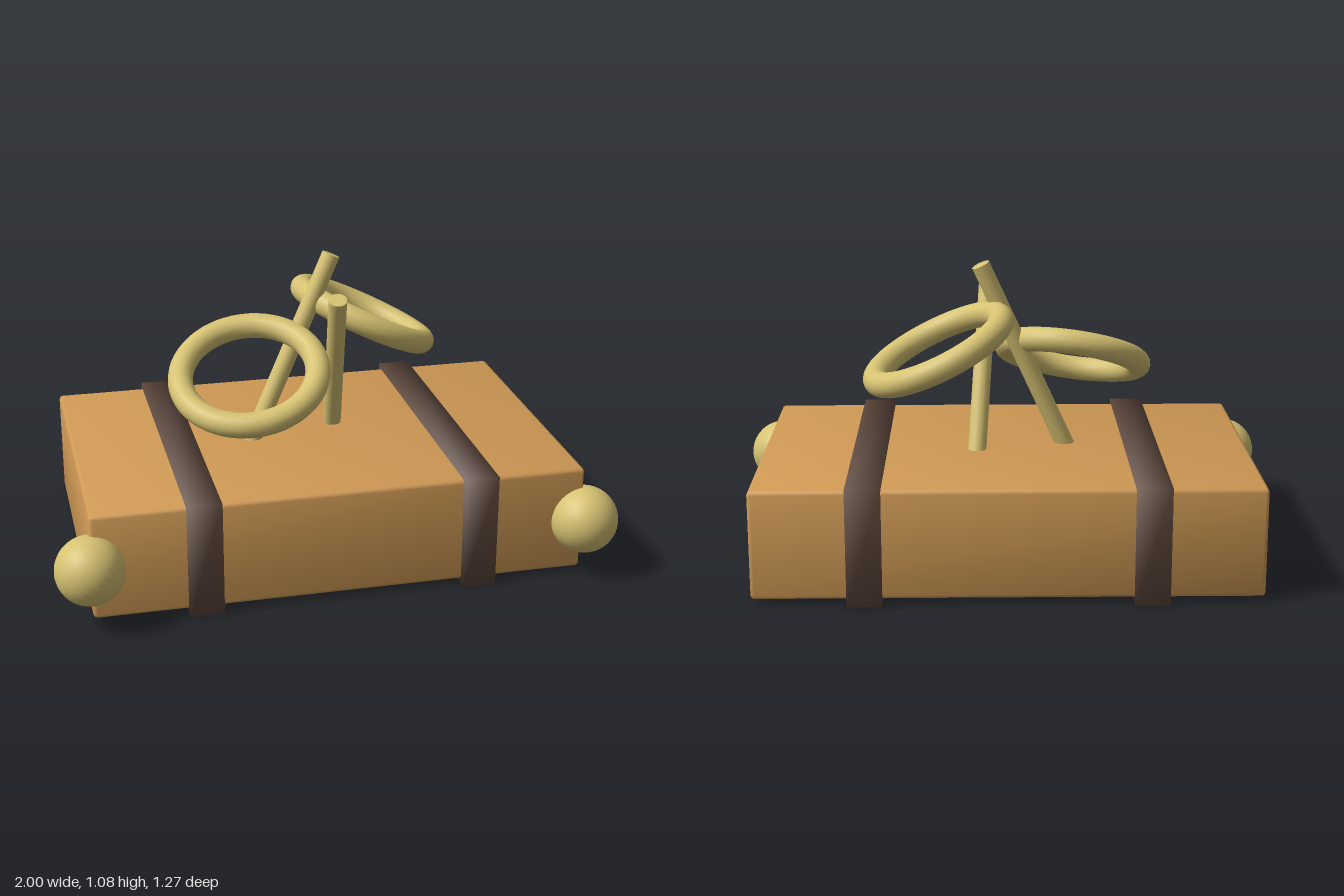
import * as THREE from 'three';
import { mergeVertices } from 'three/addons/utils/BufferGeometryUtils.js';
import { RoundedBoxGeometry } from 'three/addons/geometries/RoundedBoxGeometry.js';

const UP = new THREE.Vector3(0, 1, 0);

export function createModel() {
  const group = new THREE.Group();
  const makeMaterial = (name, color) => {
    const m = new THREE.MeshStandardMaterial({ color });
    m.name = name;
    return m;
  };
  const tan = makeMaterial('tan', 0xd09a55);
  const brown = makeMaterial('dark brown', 0x5f483c);
  const straw = makeMaterial('straw yellow', 0xd6c272);

  const add = (name, geometry, material, x, y, z) => {
    const mesh = new THREE.Mesh(geometry, material);
    mesh.name = name;
    mesh.position.set(x, y, z);
    group.add(mesh);
    return mesh;
  };

  // Package body: fine bevel, normals eased outward for a soft smooth shade
  const bodyGeo = new RoundedBoxGeometry(1.75, 0.385, 1.12, 1, 0.014);
  const p = bodyGeo.attributes.position, n = bodyGeo.attributes.normal;
  const v = new THREE.Vector3();
  for (let i = 0; i < p.count; i++) {
    v.fromBufferAttribute(n, i);
    v.x += 0.22 * Math.sign(p.getX(i));
    v.y += 0.22 * Math.sign(p.getY(i));
    v.z += 0.22 * Math.sign(p.getZ(i));
    v.normalize();
    n.setXYZ(i, v.x, v.y, v.z);
  }
  add('packageBody', bodyGeo, tan, 0, 0.2105, -0.05);

  // Straps wrapped around the body, shaded smoothly over their edges
  const box = new THREE.BoxGeometry(0.12, 0.415, 1.17);
  box.deleteAttribute('normal');
  box.deleteAttribute('uv');
  const strapGeo = mergeVertices(box);
  const sp = strapGeo.attributes.position;
  const normals = [];
  for (let i = 0; i < sp.count; i++) {
    v.set(Math.sign(sp.getX(i)), Math.sign(sp.getY(i)), Math.sign(sp.getZ(i))).normalize();
    normals.push(v.x, v.y, v.z);
  }
  strapGeo.setAttribute('normal', new THREE.Float32BufferAttribute(normals, 3));

  // Straps and round knobs at the front corners
  for (const [side, s] of [['left', 1], ['right', -1]]) {
    add(side + 'Strap', strapGeo, brown, s * 0.488, 0.2075, -0.05);
    add(side + 'Knob', new THREE.SphereGeometry(0.121, 32, 20), straw, s * 0.879, 0.21, 0.515);
  }

  // Bow loops: tilted rings, each given by its centre and axis
  const loop = (name, centre, axis) => {
    const geo = new THREE.TorusGeometry(0.245, 0.045, 16, 56).rotateX(Math.PI / 2);
    add(name, geo, straw, ...centre).quaternion.setFromUnitVectors(
      UP, new THREE.Vector3(...axis).normalize());
  };
  loop('rightBowLoop', [-0.248, 0.7, 0.09], [-0.153, 0.904, 0.4]);
  loop('leftBowLoop', [0.24, 0.793, -0.198], [0.43, 0.9, -0.07]);

  // Crossed bow tails standing on the lid
  const tail = (name, from, to) => {
    const a = new THREE.Vector3(...from), b = new THREE.Vector3(...to);
    const dir = b.clone().sub(a);
    const mid = a.add(b).multiplyScalar(0.5);
    add(name, new THREE.CylinderGeometry(0.033, 0.033, dir.length(), 20), straw, mid.x, mid.y, mid.z)
      .quaternion.setFromUnitVectors(UP, dir.normalize());
  };
  tail('tallBowTail', [-0.229, 0.37, -0.028], [0.09, 1.07, -0.08]);
  tail('shortBowTail', [0.107, 0.37, -0.128], [0.062, 0.97, 0.142]);

  return group;
}
